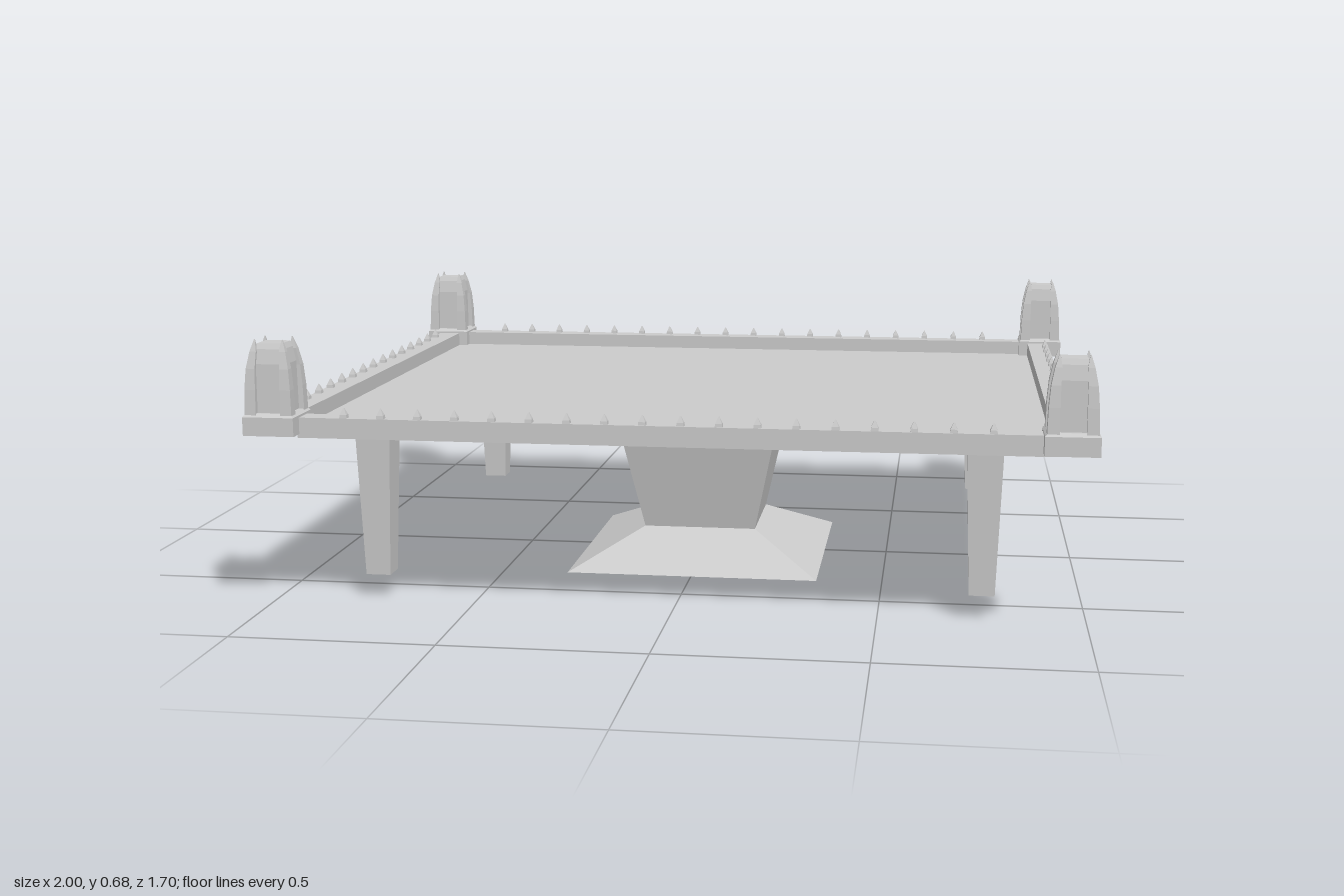
import * as THREE from 'three';

const material = new THREE.MeshStandardMaterial({ color: 0xcccccc, flatShading: true });

// Stacks square sections [y, half width, centre x, centre z] into a closed, flat-sided solid.
function squareLoft(sections) {
  const rings = sections.map(([y, h, x = 0, z = 0]) =>
    [[-1, 1], [1, 1], [1, -1], [-1, -1]].map(([sx, sz]) => [x + sx * h, y, z + sz * h]));
  const points = [];
  const quad = (a, b, c, d) => points.push(...a, ...b, ...c, ...a, ...c, ...d);
  for (let i = 0; i < rings.length - 1; i++) {
    for (let j = 0; j < 4; j++) {
      const k = (j + 1) % 4;
      quad(rings[i][j], rings[i][k], rings[i + 1][k], rings[i + 1][j]);
    }
  }
  const top = rings[rings.length - 1];
  quad(top[0], top[1], top[2], top[3]);
  quad(rings[0][3], rings[0][2], rings[0][1], rings[0][0]);
  const geometry = new THREE.BufferGeometry();
  geometry.setAttribute('position', new THREE.Float32BufferAttribute(points, 3));
  geometry.computeVertexNormals();
  return geometry;
}

function add(parent, name, geometry, x = 0, y = 0, z = 0) {
  const mesh = new THREE.Mesh(geometry, material);
  mesh.name = name;
  mesh.position.set(x, y, z);
  parent.add(mesh);
  return mesh;
}

// Corner tower: plinth, framed body, tapered cap and four curved, pointed buttresses.
function createTower() {
  const tower = new THREE.Group();
  tower.name = 'cornerTower';
  add(tower, 'plinth', squareLoft([[0.45, 0.0625], [0.495, 0.0625], [0.503, 0.054]]));
  add(tower, 'towerBody', squareLoft([[0.49, 0.045], [0.62, 0.043]]));
  add(tower, 'towerCap', squareLoft([[0.62, 0.043], [0.655, 0.036], [0.668, 0.03]]));
  for (const sx of [-1, 1]) {
    for (const sz of [-1, 1]) {
      const path = [[0.49, 0.014, 0.044], [0.56, 0.013, 0.043], [0.61, 0.011, 0.041],
        [0.65, 0.008, 0.036], [0.678, 0.001, 0.034]];
      add(tower, 'buttress', squareLoft(path.map(([y, h, c]) => [y, h, sx * c, sz * c])));
    }
  }
  return tower;
}

export function createModel() {
  const model = new THREE.Group();
  model.name = 'platform';

  // Floor slab
  add(model, 'floor', new THREE.BoxGeometry(1.8, 0.022, 1.51), 0, 0.441, 0);

  // Raised rim as a rectangular frame
  const rectangle = (Type, w, d) => new Type([[-w, -d], [w, -d], [w, d], [-w, d]]
    .map(([x, y]) => new THREE.Vector2(x, y)));
  const frame = rectangle(THREE.Shape, 0.96, 0.81);
  frame.holes.push(rectangle(THREE.Path, 0.9, 0.755));
  const rim = new THREE.ExtrudeGeometry(frame, { depth: 0.04, bevelEnabled: false });
  rim.rotateX(-Math.PI / 2);
  add(model, 'rim', rim, 0, 0.45, 0);

  // Small spikes along the rim
  const spike = squareLoft([[0, 0.009], [0.008, 0.008], [0.024, 0.001]]);
  const spikes = new THREE.Group();
  spikes.name = 'rimSpikes';
  model.add(spikes);
  for (const side of [-1, 1]) {
    for (let i = 0; i < 18; i++) add(spikes, 'spike', spike, -0.767 + i * 0.09, 0.49, side * 0.798);
    for (let i = 0; i < 14; i++) add(spikes, 'spike', spike, side * 0.948, 0.49, -0.62 + i * 0.09);
  }

  // Central pedestal with spreading foot and flared head
  add(model, 'pedestal', squareLoft([[0, 0.33], [0.09, 0.15], [0.36, 0.208], [0.43, 0.45]]));

  // Corner towers and tapered legs
  const leg = squareLoft([[0.06, 0.031], [0.432, 0.044]]);
  for (const sx of [-1, 1]) {
    for (const sz of [-1, 1]) {
      const tower = createTower();
      tower.position.set(sx * 0.9375, 0, sz * 0.7875);
      model.add(tower);
      add(model, 'leg', leg, sx * 0.75, 0, sz * 0.6);
    }
  }
  return model;
}
